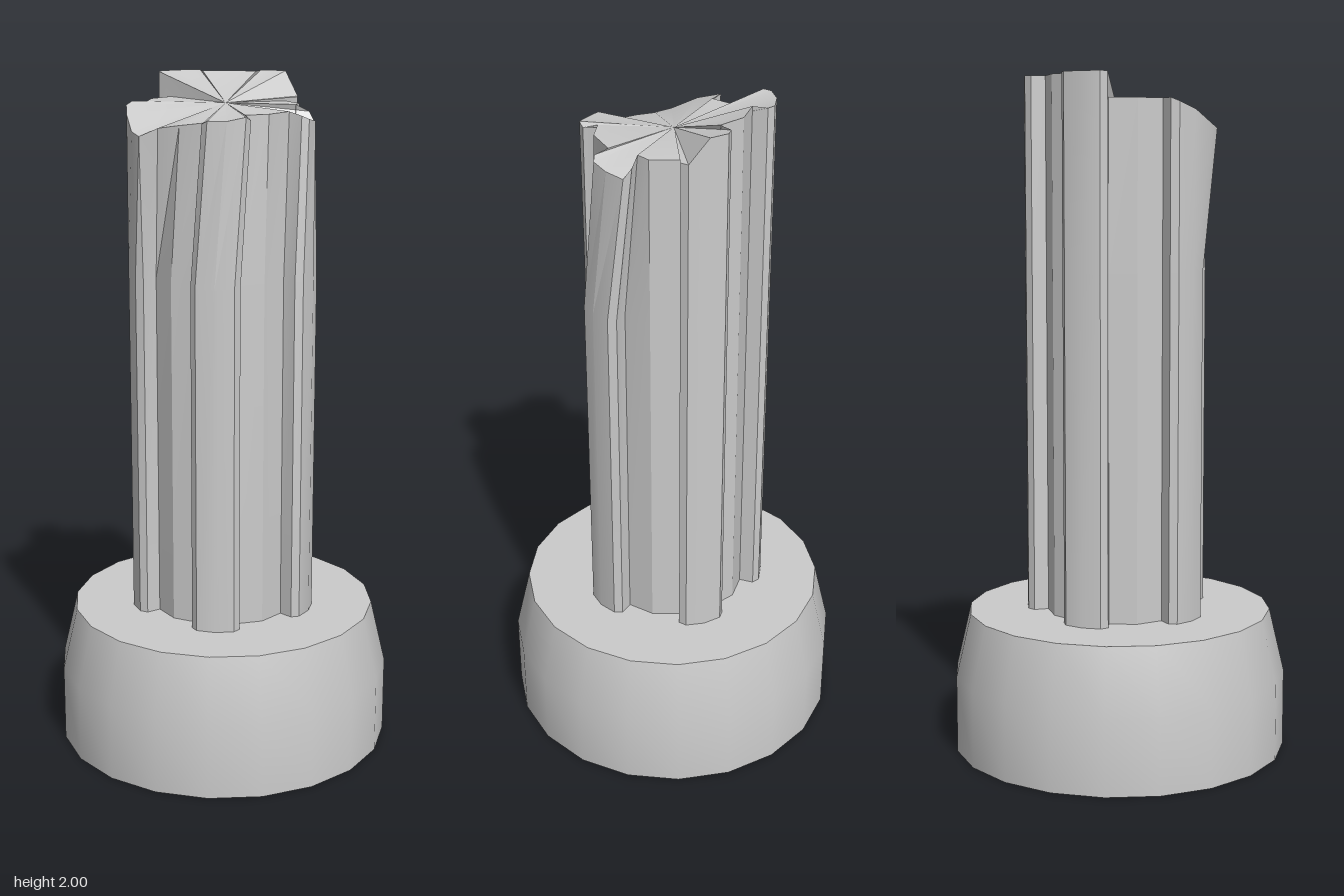
import * as THREE from 'three';
import { toCreasedNormals } from 'three/addons/utils/BufferGeometryUtils.js';

const material = new THREE.MeshStandardMaterial({ color: 0xcccccc });
const RAD = Math.PI / 180;

// One rib and the hollow after it: [sideways, outward]
const RIB = [[-0.055, 0.21], [-0.07, 0.25], [-0.055, 0.27], [0, 0.28], [0.055, 0.27], [0.07, 0.25], [0.055, 0.21]];

// Broken top edge, per rib: heights, twist in degrees and radial scale of each point
const BREAKS = [
  { y: [2, 2, 2, 2, 1.93, 1.93, 1.92, 1.92], twist: () => 0, scale: () => 1 }, // back
  { y: [1.92, 1.9, 1.87, 1.88, 1.89, 1.9, 1.91, 1.91], twist: (i) => (i < 7 ? -11 : -5), scale: () => 0.95 },
  { y: [1.91, 1.9, 1.91, 1.9, 1.9, 1.89, 1.89, 1.88], twist: () => -7, scale: () => 0.96 },
  { y: [1.87, 1.85, 1.86, 1.9, 1.92, 1.93, 1.93, 1.93], twist: (i) => -Math.max(0, 13 - 4 * i), scale: (i) => [1.1, 1.13, 1.06][i] ?? 1 },
  { y: [1.93, 2, 2, 2, 2, 2, 2, 2], twist: () => 0, scale: () => 1 },
];

// Point at an angle measured from the back towards +x
const polar = (angle, r, y) => [Math.sin(angle) * r, y, -Math.cos(angle) * r];

function createShaft() {
  const low = [], middle = [], top = [];
  BREAKS.forEach((rib, k) => {
    for (let i = 0; i < 8; i++) {
      const [side, out] = RIB[i] ?? [0, 0];
      const angle = k * 72 * RAD + (i < 7 ? Math.atan2(side, out) : 36 * RAD);
      const r = i < 7 ? Math.hypot(side, out) : 0.225;
      low.push(polar(angle, r, 0.41));
      middle.push(polar(angle, r, 1.44));
      top.push(polar(angle + rib.twist(i) * RAD, r * rib.scale(i), rib.y[i]));
    }
  });

  // Skin the rings, then close both ends with fans
  const positions = [];
  const tri = (...corners) => corners.forEach((c) => positions.push(...c));
  const rings = [low, middle, top];
  const n = low.length;
  for (let i = 0; i < n; i++) {
    const j = (i + 1) % n;
    for (let s = 0; s < 2; s++) {
      const a = rings[s], b = rings[s + 1];
      tri(a[j], a[i], b[i]);
      tri(a[j], b[i], b[j]);
    }
    tri([0, 1.925, -0.01], top[j], top[i]);
    tri([0, 0.41, 0], low[i], low[j]);
  }
  const geometry = new THREE.BufferGeometry();
  geometry.setAttribute('position', new THREE.Float32BufferAttribute(positions, 3));
  return toCreasedNormals(geometry, 0.42);
}

function createBase() {
  const profile = [[0, 0], [0.5, 0], [0.5, 0.23], [0.455, 0.42], [0, 0.42]];
  const geometry = new THREE.LatheGeometry(profile.map(([x, y]) => new THREE.Vector2(x, y)), 20);
  return toCreasedNormals(geometry, 0.42);
}

export function createModel() {
  const group = new THREE.Group();
  group.name = 'brokenColumn';
  for (const [name, geometry] of [['base', createBase()], ['flutedShaft', createShaft()]]) {
    const mesh = new THREE.Mesh(geometry, material);
    mesh.name = name;
    group.add(mesh);
  }
  return group;
}
